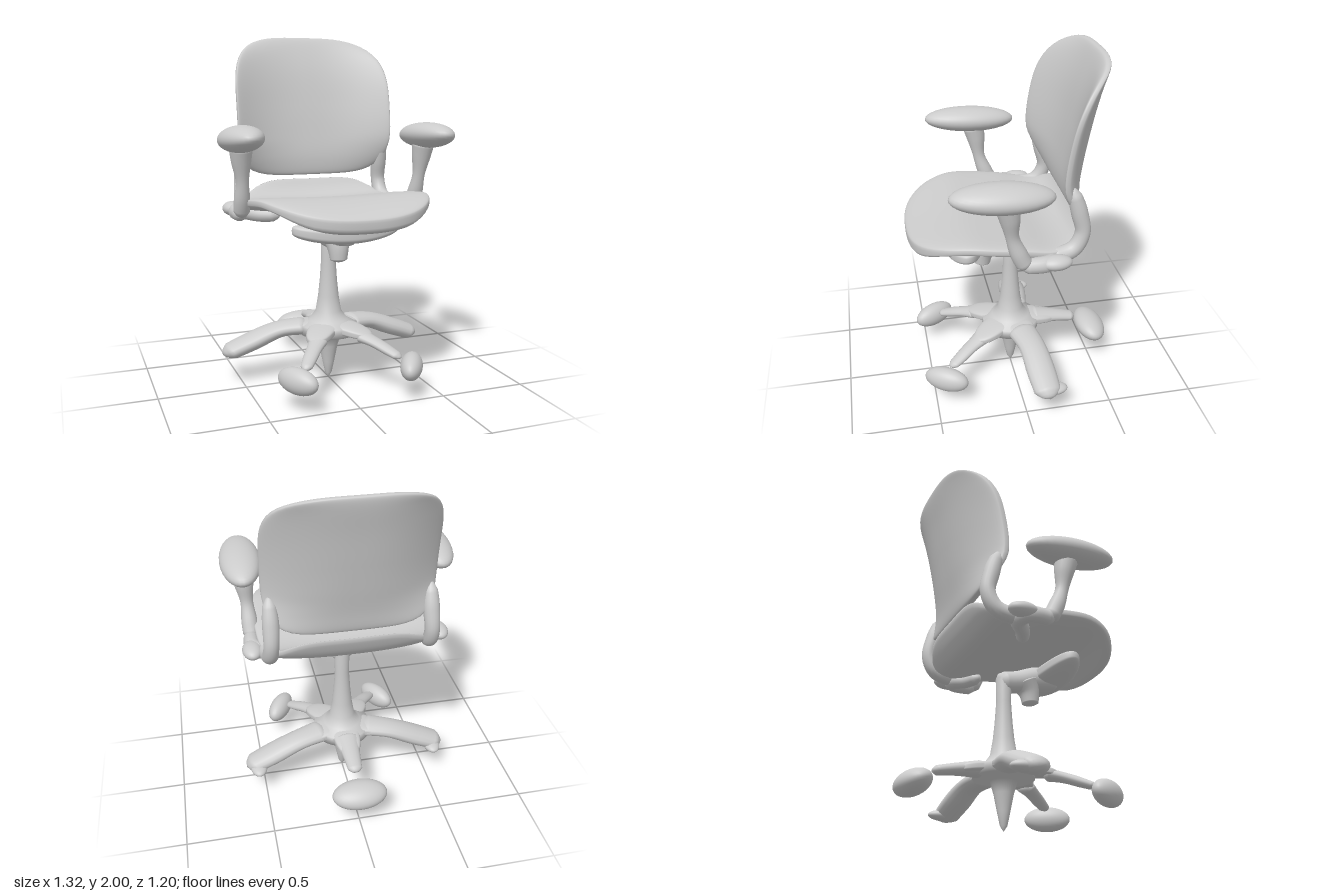
import * as THREE from 'three';
import { mergeVertices } from 'three/addons/utils/BufferGeometryUtils.js';

const material = new THREE.MeshStandardMaterial({ color: 0xcccccc, side: THREE.DoubleSide });

// Smooth (cubic Hermite) lookup in a short list of [key, value] pairs
function lookup(table, k) {
  const last = table.length - 1;
  if (k <= table[0][0]) return table[0][1];
  if (k >= table[last][0]) return table[last][1];
  const i = table.findIndex((entry) => k <= entry[0]);
  const slope = (j) => {
    const a = table[Math.max(j - 1, 0)], b = table[Math.min(j + 1, last)];
    return (b[1] - a[1]) / (b[0] - a[0]);
  };
  const [k0, v0] = table[i - 1], [k1, v1] = table[i];
  const d = k1 - k0, t = (k - k0) / d, s = 1 - t;
  return v0 * s * s * (1 + 2 * t) + v1 * t * t * (3 - 2 * t) + d * t * s * (s * slope(i - 1) - t * slope(i));
}

function smooth(geometry) {
  geometry.deleteAttribute('normal');
  geometry.deleteAttribute('uv');
  const welded = mergeVertices(geometry, 1e-5);
  welded.computeVertexNormals();
  return welded;
}

function add(group, name, geometry) {
  const mesh = new THREE.Mesh(geometry, material);
  mesh.name = name;
  group.add(mesh);
  return mesh;
}

// Superellipse outline with separate extents and exponents for the two halves
function outline(half, up, down, nUp, nDown) {
  return (angle) => {
    const c = Math.cos(angle), s = Math.sin(angle);
    const n = s > 0 ? nUp : nDown;
    const r = 1 / Math.pow(Math.abs(c) ** n + Math.abs(s) ** n, 1 / n);
    return [c * r * half, s * r * (s > 0 ? up : down)];
  };
}

// Closed cushion: rings run from the upper centre over the rim to the lower centre
function shell(edge, thickness, place) {
  const around = 80, rings = 48, position = [], index = [];
  for (let j = 0; j <= rings; j++) {
    const t = j / rings * Math.PI;
    const r = Math.sin(t);
    const h = Math.sign(Math.cos(t)) * Math.abs(Math.cos(t)) ** 0.5 * thickness;
    for (let i = 0; i <= around; i++) {
      const [a, b] = edge((i % around) / around * Math.PI * 2);
      position.push(...place(a * r, b * r, h));
    }
  }
  const row = around + 1;
  for (let j = 0; j < rings; j++) {
    for (let i = 0; i < around; i++) {
      const a = j * row + i, b = a + row;
      if (j > 0) index.push(a, b, a + 1);
      if (j < rings - 1) index.push(a + 1, b, b + 1);
    }
  }
  const geometry = new THREE.BufferGeometry();
  geometry.setAttribute('position', new THREE.Float32BufferAttribute(position, 3));
  geometry.setIndex(index);
  return smooth(geometry);
}

// Round-ended tube along a curve, with radii spread evenly over its length
function limb(points, radii, flatten = 1) {
  const steps = 40, sides = 16;
  const curve = new THREE.CatmullRomCurve3(points.map((p) => new THREE.Vector3(...p)));
  const geometry = new THREE.TubeGeometry(curve, steps, 1, sides);
  const table = radii.map((r, i) => [i / (radii.length - 1), r]);
  const position = geometry.attributes.position, v = new THREE.Vector3();
  for (let i = 0; i < position.count; i++) {
    const t = Math.floor(i / (sides + 1)) / steps;
    const centre = curve.getPointAt(t);
    const cap = Math.sqrt(Math.min(1, Math.min(t, 1 - t) / 0.1));
    v.fromBufferAttribute(position, i).sub(centre).multiplyScalar(lookup(table, t) * cap);
    v.y *= flatten;
    v.add(centre);
    position.setXYZ(i, v.x, v.y, v.z);
  }
  return smooth(geometry);
}

function ellipsoid(group, name, centre, size, rotation = [0, 0, 0]) {
  const mesh = add(group, name, new THREE.SphereGeometry(1, 32, 20));
  mesh.position.set(...centre);
  mesh.scale.set(...size);
  mesh.rotation.set(...rotation);
}

export function createModel() {
  const chair = new THREE.Group();
  chair.name = 'officeChair';

  // Seat: dipped toward the rear, with a deep rounded front lip, swept up at the back
  const seatHeight = [[-0.34, 1.15], [-0.3, 1.08], [-0.25, 1.035], [-0.15, 1.02], [0, 1.045],
    [0.15, 1.065], [0.3, 1.08], [0.42, 1.07], [0.5, 1.055], [0.56, 1.04], [0.6, 1.03]];
  const lip = [[0.3, 1], [0.42, 1.3], [0.55, 2.7]];
  add(chair, 'seat', shell(outline(0.5, 0.44, 0.5, 4, 2.55), 0.042, (a, b, h) => {
    const z = 0.1 - b;
    const dish = 0.03 * (Math.abs(a) / 0.5) ** 2 - 0.01;
    return [a, lookup(seatHeight, z) + dish + h * (h < 0 ? lookup(lip, z) : 1.1), z];
  }));

  // Backrest: leans back, with both sides wrapping forward
  const backZ = [[1.18, -0.3], [1.3, -0.308], [1.45, -0.335], [1.6, -0.365], [1.8, -0.41], [2, -0.47]];
  const wrap = [[1.18, 0.01], [1.3, 0.08], [1.4, 0.125], [1.6, 0.145], [1.8, 0.14], [1.92, 0.12], [2, 0.06]];
  add(chair, 'backrest', shell(outline(0.475, 0.4, 0.42, 3.4, 4.5), 0.04, (a, b, h) => {
    const y = 1.6 + b;
    return [a, y, lookup(backZ, y) + lookup(wrap, y) * (Math.abs(a) / 0.475) ** 2.4 + h];
  }));

  // Tilt mechanism under the seat
  const wing = (t) => [Math.cos(t) * 0.31, Math.sin(t) * 0.11];
  add(chair, 'tiltCrossbar', shell(wing, 0.05, (a, b, h) => [a, 0.915 + 0.35 * a * a + h, 0.29 - b]));
  add(chair, 'tiltArm', limb([[0, 0.92, 0.36], [0, 0.9, 0.2], [0, 0.86, 0.08], [0, 0.84, -0.04]],
    [0.06, 0.07, 0.065, 0.06]));
  add(chair, 'tiltKnob', limb([[0, 0.88, 0.13], [0, 0.81, 0.16], [0, 0.73, 0.17]], [0.085, 0.06, 0.045]));

  // Column flaring into the hub, with a spike below
  const profile = [[0.001, 0.9], [0.035, 0.89], [0.045, 0.86], [0.042, 0.72], [0.05, 0.6], [0.06, 0.5],
    [0.075, 0.41], [0.11, 0.36], [0.17, 0.335], [0.17, 0.28], [0.075, 0.265], [0.055, 0.2],
    [0.035, 0.1], [0.02, 0.03], [0.001, 0]];
  add(chair, 'column', new THREE.LatheGeometry(
    profile.reverse().map(([r, y]) => new THREE.Vector2(r, y)), 32));

  // Five-pointed hub web
  const star = (t) => {
    const r = 0.225 + 0.07 * Math.cos(5 * (t - Math.PI / 2));
    return [Math.cos(t) * r, Math.sin(t) * r];
  };
  add(chair, 'hub', shell(star, 0.033, (a, b, h) => [a, 0.33 - 0.4 * (a * a + b * b) + h, -b]));

  // Rear leg and caster
  add(chair, 'rearLeg', limb([[0, 0.32, -0.12], [0, 0.3, -0.28], [0, 0.275, -0.41]], [0.08, 0.055, 0.04], 0.6));
  ellipsoid(chair, 'rearCaster', [0, 0.2, -0.51], [0.16, 0.066, 0.094], [-0.3, 0, 0]);

  for (const side of [1, -1]) {
    const label = side > 0 ? 'left' : 'right';
    const mirror = (points) => points.map(([x, y, z]) => [x * side, y, z]);

    // Side and front legs with casters
    add(chair, label + 'SideLeg', limb(mirror([[0.1, 0.32, -0.03], [0.28, 0.3, -0.075], [0.45, 0.235, -0.095],
      [0.61, 0.17, -0.11]]), [0.09, 0.08, 0.085, 0.075], 0.55));
    ellipsoid(chair, label + 'SideCaster', [0.54 * side, 0.185, -0.14], [0.05, 0.03, 0.085]);
    add(chair, label + 'FrontLeg', limb(mirror([[0.12, 0.3, 0.18], [0.19, 0.27, 0.28], [0.24, 0.24, 0.35],
      [0.28, 0.215, 0.41]]), [0.06, 0.045, 0.04, 0.03], 0.6));
    ellipsoid(chair, label + 'FrontCaster', [0.33 * side, 0.175, 0.44], [0.062, 0.072, 0.133], [0, -side * 0.53, 0]);

    // Armrest: pad, post and bracket running under the seat
    ellipsoid(chair, label + 'ArmPad', [0.545 * side, 1.43, 0.145], [0.113, 0.073, 0.268],
      [-0.05, 0, -side * 0.08]);
    add(chair, label + 'ArmPost', limb(mirror([[0.54, 1.42, 0.13], [0.535, 1.32, 0.11], [0.525, 1.18, 0.09],
      [0.52, 1.07, 0.05], [0.515, 0.99, 0.01]]), [0.07, 0.055, 0.036, 0.045, 0.045]));
    add(chair, label + 'ArmBracket', limb(mirror([[0.52, 1.01, 0.05], [0.515, 1.01, -0.1], [0.46, 1, -0.13],
      [0.38, 0.985, -0.07], [0.28, 0.985, -0.02]]), [0.04, 0.045, 0.045, 0.04, 0.035]));
    ellipsoid(chair, label + 'BracketKnuckle', [0.53 * side, 1.02, -0.14], [0.055, 0.04, 0.085]);

    // Strut joining the backrest corner to the seat
    add(chair, label + 'BackStrut', limb(mirror([[0.435, 1.4, -0.235], [0.435, 1.25, -0.28], [0.44, 1.13, -0.3],
      [0.445, 1.04, -0.25], [0.46, 1.01, -0.1]]), [0.03, 0.045, 0.042, 0.045, 0.045]));
  }
  return chair;
}
